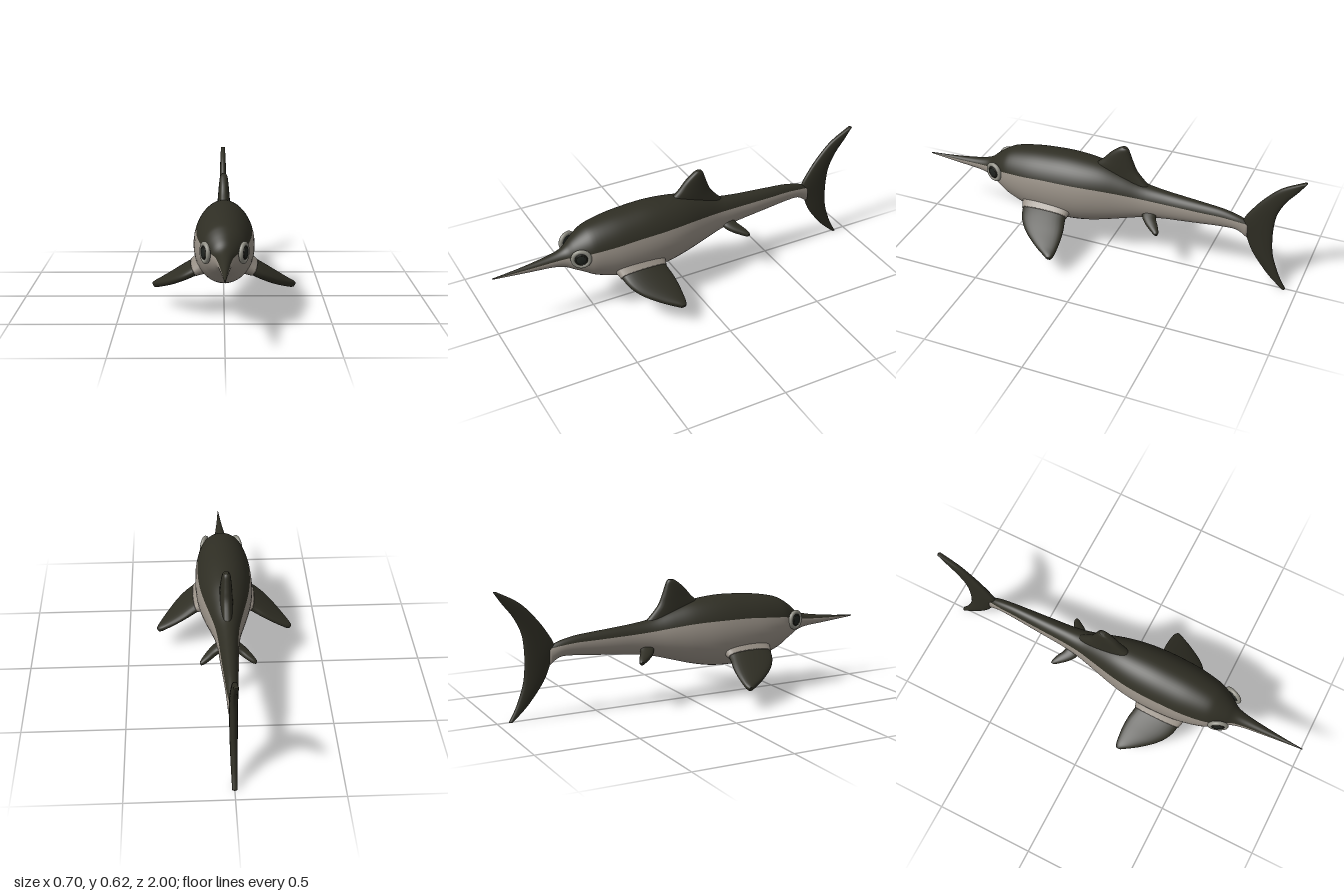
import * as THREE from 'three';

const mat = (name, color) => Object.assign(new THREE.MeshStandardMaterial({ color }), { name });

// Catmull-Rom resampling of a small table of sections
function resample(rows, steps) {
  const out = [];
  const at = (i) => rows[Math.max(0, Math.min(rows.length - 1, i))];
  for (let i = 0; i < rows.length - 1; i++) {
    for (let s = 0; s < steps; s++) {
      const t = s / steps;
      out.push(at(i).map((b, k) => {
        const a = at(i - 1)[k], c = at(i + 1)[k], d = at(i + 2)[k];
        return b + 0.5 * t * (c - a + t * (2 * a - 5 * b + 4 * c - d + t * (3 * (b - c) + d - a)));
      }));
    }
  }
  out.push(at(rows.length - 1));
  return out;
}

// Skin closed rings; the first `split` columns take material 0, the rest material 1
function loft(rings, split) {
  const n = rings[0].length, parts = [[], []];
  const centre = (ring) => ring.reduce((s, p) => s.add(p), new THREE.Vector3()).divideScalar(n);
  const points = rings.flat();
  const first = points.push(centre(rings[0])) - 1;
  const last = points.push(centre(rings[rings.length - 1])) - 1;
  for (let j = 0; j < n; j++) {
    const k = (j + 1) % n, part = parts[j < split ? 0 : 1];
    for (let i = 0; i < rings.length - 1; i++) {
      const a = i * n + j, b = i * n + k;
      part.push(a, a + n, b, b, a + n, b + n);
    }
    const end = (rings.length - 1) * n;
    part.push(first, j, k, last, end + k, end + j);
  }
  const geo = new THREE.BufferGeometry().setFromPoints(points);
  geo.setIndex([...parts[0], ...parts[1]]);
  geo.addGroup(0, parts[0].length, 0);
  geo.addGroup(parts[0].length, parts[1].length, 1);
  geo.computeVertexNormals();
  return geo;
}

// Fin from sections [x, y, leading z, trailing z, half thickness] along a span direction
function finGeometry(sections, span) {
  const chord = new THREE.Vector3(0, 0, 1);
  const thick = chord.clone().cross(span.clone().normalize());
  const round = (v) => Math.sign(v) * Math.abs(v) ** 0.75;
  const rings = resample(sections, 5).map(([x, y, lead, trail, t]) => {
    const ring = [];
    for (let j = 0; j < 28; j++) {
      const a = (j / 28) * Math.PI * 2;
      ring.push(new THREE.Vector3(x, y, (lead + trail) / 2)
        .addScaledVector(chord, Math.cos(a) * (lead - trail) / 2)
        .addScaledVector(thick, round(Math.sin(a)) * t));
    }
    return ring;
  });
  const geo = loft(rings, 28);
  geo.clearGroups();
  return geo;
}

export function createModel() {
  const model = new THREE.Group();
  model.name = 'seaReptile';
  const dark = mat('darkBack', 0x2f2e24);
  const pale = mat('paleBelly', 0x989086);
  const ringMat = mat('eyeRing', 0x8e8d83);
  const eyeMat = mat('eyeDark', 0x1f231f);
  const add = (name, geo, material, parent = model) => {
    const mesh = new THREE.Mesh(geo, material);
    mesh.name = name;
    parent.add(mesh);
    return mesh;
  };

  // Body with long snout: [z, top y, bottom y, half width, colour line y]
  const stations = [
    [1.0, 0.331, 0.325, 0.002, 0.328], [0.9, 0.339, 0.316, 0.01, 0.331],
    [0.8, 0.35, 0.308, 0.02, 0.336], [0.7, 0.366, 0.3, 0.032, 0.344],
    [0.64, 0.386, 0.284, 0.046, 0.352], [0.6, 0.42, 0.262, 0.07, 0.362],
    [0.55, 0.455, 0.235, 0.099, 0.376], [0.5, 0.478, 0.205, 0.119, 0.386],
    [0.4, 0.498, 0.17, 0.138, 0.396], [0.3, 0.508, 0.155, 0.145, 0.404],
    [0.2, 0.513, 0.151, 0.145, 0.406], [0.1, 0.508, 0.16, 0.137, 0.405],
    [0.0, 0.494, 0.182, 0.118, 0.4], [-0.1, 0.462, 0.211, 0.092, 0.388],
    [-0.2, 0.425, 0.24, 0.067, 0.374], [-0.3, 0.41, 0.257, 0.053, 0.366],
    [-0.4, 0.401, 0.268, 0.046, 0.362], [-0.5, 0.393, 0.278, 0.039, 0.358],
    [-0.6, 0.384, 0.288, 0.032, 0.355], [-0.68, 0.366, 0.288, 0.027, 0.346],
    [-0.735, 0.345, 0.252, 0.022, 0.335],
  ];
  const half = 24;
  const rings = resample(stations, 4).map(([z, top, bottom, w, line]) => {
    const cy = (top + bottom) / 2, h = (top - bottom) / 2;
    const a0 = Math.asin(THREE.MathUtils.clamp((line - cy) / h, -0.95, 0.95));
    const ring = [];
    for (let j = 0; j < half * 2; j++) {
      const a = j < half
        ? a0 + (j / half) * (Math.PI - 2 * a0)
        : Math.PI - a0 + (j / half - 1) * (Math.PI + 2 * a0);
      ring.push(new THREE.Vector3(w * Math.cos(a), cy + h * Math.sin(a), z));
    }
    return ring;
  });
  add('body', loft(rings, half), [dark, pale]);

  // Crescent tail fin
  add('tailFin', finGeometry([
    [0, 0.625, -0.978, -0.995, 0.011], [0, 0.57, -0.878, -0.958, 0.015],
    [0, 0.5, -0.806, -0.905, 0.017], [0, 0.42, -0.745, -0.868, 0.019],
    [0, 0.34, -0.705, -0.857, 0.02], [0, 0.26, -0.73, -0.857, 0.019],
    [0, 0.18, -0.765, -0.866, 0.018], [0, 0.1, -0.823, -0.892, 0.016],
    [0, 0.05, -0.868, -0.914, 0.014], [0, 0, -0.925, -0.942, 0.012],
  ], new THREE.Vector3(0, -1, 0)), dark);

  // Dorsal fin
  add('dorsalFin', finGeometry([
    [0, 0.4, 0.1, -0.24, 0.034], [0, 0.48, 0.065, -0.165, 0.031],
    [0, 0.53, 0.016, -0.14, 0.027], [0, 0.57, -0.02, -0.125, 0.023],
    [0, 0.6, -0.056, -0.114, 0.018], [0, 0.613, -0.078, -0.104, 0.01],
  ], new THREE.Vector3(0, 1, 0)), dark);

  for (const side of [1, -1]) {
    const sideName = side > 0 ? 'left' : 'right';
    const fin = (name, sections, dx, dy, material) => add(sideName + name,
      finGeometry(sections.map(([x, ...rest]) => [x * side, ...rest]),
        new THREE.Vector3(dx * side, dy, 0)), material);

    // Front flipper and its pale root
    fin('FrontFlipper', [
      [0.09, 0.251, 0.405, 0.17, 0.034], [0.15, 0.217, 0.4, 0.164, 0.031],
      [0.2, 0.188, 0.38, 0.152, 0.027], [0.25, 0.158, 0.335, 0.147, 0.023],
      [0.3, 0.129, 0.265, 0.148, 0.019], [0.33, 0.112, 0.212, 0.152, 0.017],
      [0.345, 0.104, 0.185, 0.16, 0.012],
    ], 0.205, -0.12, dark);
    fin('FlipperRoot', [
      [0.085, 0.254, 0.425, 0.145, 0.055], [0.115, 0.237, 0.415, 0.155, 0.043],
      [0.143, 0.221, 0.406, 0.162, 0.034],
    ], 0.205, -0.12, pale);

    // Hind flipper
    fin('HindFlipper', [
      [0.03, 0.291, -0.205, -0.275, 0.02], [0.06, 0.276, -0.212, -0.285, 0.019],
      [0.09, 0.261, -0.238, -0.305, 0.017], [0.118, 0.247, -0.276, -0.319, 0.014],
      [0.134, 0.239, -0.301, -0.319, 0.009],
    ], 0.1, -0.05, dark);

    // Eye: pale ring around a flattened dark ball, turned slightly forward
    const eye = new THREE.Group();
    eye.name = sideName + 'Eye';
    eye.position.set(0.088 * side, 0.36, 0.585);
    eye.rotation.y = side * 1.2;
    model.add(eye);
    add('eyeRing', new THREE.TorusGeometry(0.04, 0.011, 14, 40), ringMat, eye);
    add('eyeball', new THREE.SphereGeometry(0.036, 32, 20), eyeMat, eye).scale.z = 0.4;
    add('iris', new THREE.TorusGeometry(0.026, 0.003, 8, 36), dark, eye).position.z = 0.009;
  }
  return model;
}
